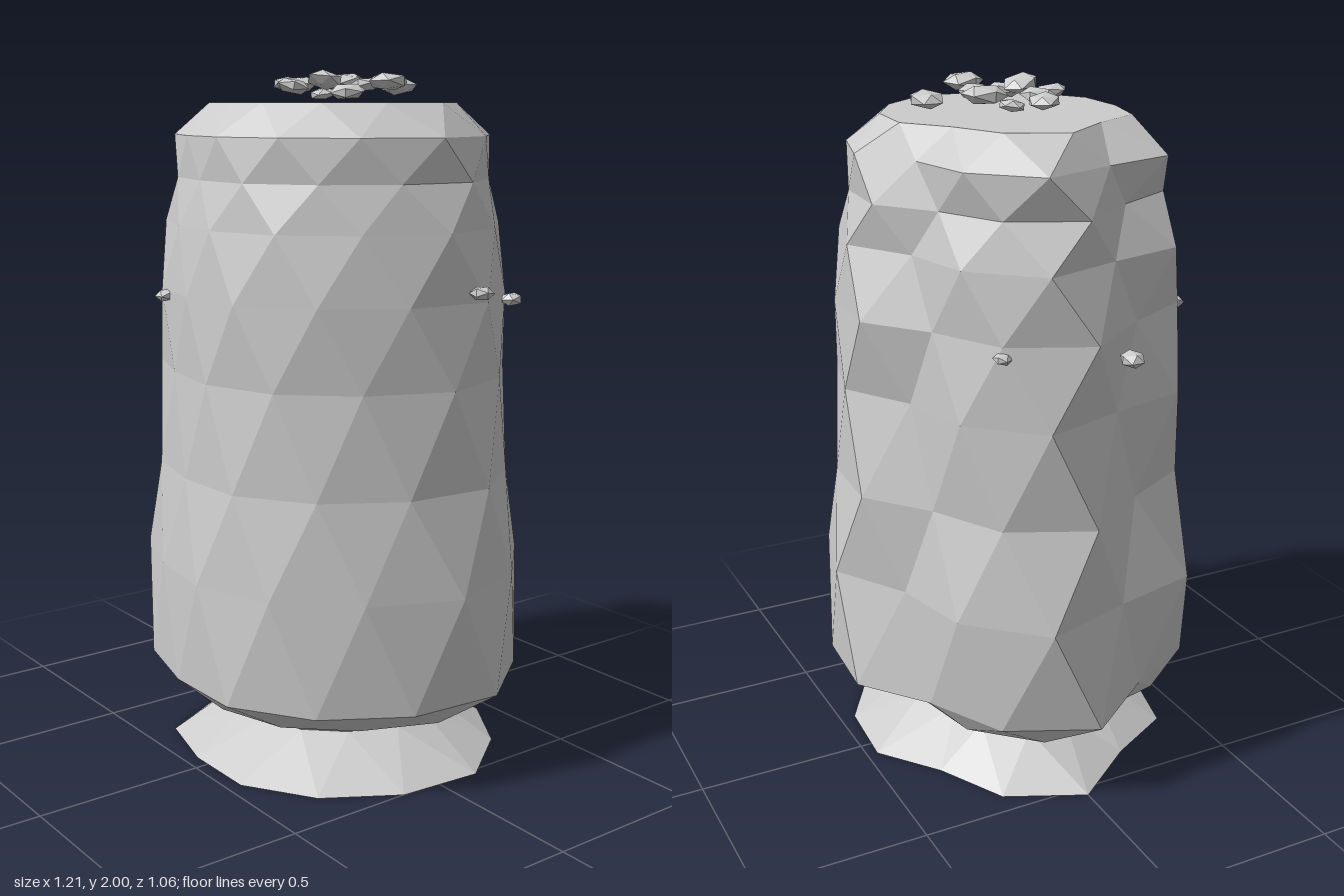
import * as THREE from 'three';

const SIDES = 13;
const material = new THREE.MeshStandardMaterial({ color: 0xcccccc, flatShading: true });

// Outline radius at every half step round the trunk, starting at +x and turning towards +z.
// The dips make the two long grooves.
const OUTLINE = [
  0.605, 0.58, 0.56, 0.56, 0.55, 0.55, 0.53, 0.52, 0.52, 0.55, 0.58, 0.49, 0.515,
  0.605, 0.605, 0.55, 0.525, 0.455, 0.43, 0.53, 0.535, 0.545, 0.56, 0.56, 0.575, 0.605,
];

// Height and scale of each ring, from the flared foot to the rim.
const RINGS = [
  [0, 0.89], [0.11, 0.53], [0.145, 0.6], [0.185, 0.83], [0.26, 1], [0.58, 1], [0.86, 0.93],
  [1.15, 0.91], [1.38, 0.905], [1.57, 0.87], [1.7, 0.81], [1.82, 0.815], [1.91, 0.64],
];

function makeTrunk() {
  // Neighbouring rings are turned by half a step, giving a diamond pattern of facets.
  const rings = RINGS.map(([y, scale], k) => {
    const shift = (k + 1) % 2;
    return Array.from({ length: SIDES }, (_, i) => {
      const step = 2 * i + shift;
      const angle = (step * Math.PI) / SIDES;
      const r = OUTLINE[step] * scale;
      return [r * Math.cos(angle), y, r * Math.sin(angle)];
    });
  });
  const at = (ring, i) => ring[(i + SIDES) % SIDES];
  const positions = [];
  const triangle = (a, b, c) => positions.push(...a, ...b, ...c);

  for (let k = 0; k < rings.length - 1; k++) {
    const low = rings[k];
    const high = rings[k + 1];
    const shift = (k + 1) % 2;
    for (let i = 0; i < SIDES; i++) {
      triangle(at(low, i + 1), low[i], at(high, i + shift));
      triangle(low[i], at(high, i + shift - 1), at(high, i + shift));
    }
  }

  // Flat ends
  const bottom = rings[0];
  const top = rings[rings.length - 1];
  for (let i = 0; i < SIDES; i++) {
    triangle([0, 0, 0], bottom[i], at(bottom, i + 1));
    triangle([0, 1.91, 0], at(top, i + 1), top[i]);
  }

  const geometry = new THREE.BufferGeometry();
  geometry.setAttribute('position', new THREE.Float32BufferAttribute(positions, 3));
  geometry.computeVertexNormals();
  const mesh = new THREE.Mesh(geometry, material);
  mesh.name = 'trunk';
  return mesh;
}

// Flattened, slightly tilted stones: x, y, z, radius
function makePebbles(name, list, flatness) {
  const group = new THREE.Group();
  group.name = name;
  const geometry = new THREE.IcosahedronGeometry(1, 0);
  list.forEach(([x, y, z, r], i) => {
    const pebble = new THREE.Mesh(geometry, material);
    pebble.name = 'pebble';
    pebble.position.set(x, y, z);
    pebble.scale.set(r, r * flatness, r * 0.95);
    pebble.rotation.set(0.15 * Math.sin(i * 2.3), i * 1.7, 0.15 * Math.cos(i * 1.9));
    group.add(pebble);
  });
  return group;
}

export function createModel() {
  const model = new THREE.Group();
  model.name = 'stump';
  model.add(makeTrunk());

  // Loose heap above the flat top
  model.add(makePebbles('topPebbles', [
    [0.03, 1.955, -0.225, 0.056], [-0.045, 1.967, -0.085, 0.068], [0.08, 1.96, -0.06, 0.046],
    [0.23, 1.967, -0.02, 0.062], [-0.075, 1.96, 0.065, 0.056], [0.085, 1.972, 0.09, 0.058],
    [0.19, 1.94, 0.09, 0.054], [-0.19, 1.963, 0.02, 0.05], [0.01, 1.955, 0.145, 0.052],
    [-0.06, 1.935, -0.01, 0.042],
  ], 0.42));

  // Small stones stuck to the flanks
  model.add(makePebbles('sidePebbles', [
    [-0.49, 1.31, 0.135, 0.038], [-0.23, 1.365, 0.43, 0.032], [0.555, 1.41, -0.085, 0.035],
    [0.44, 1.365, -0.305, 0.035], [-0.44, 1.35, -0.23, 0.028],
  ], 0.6));
  return model;
}
